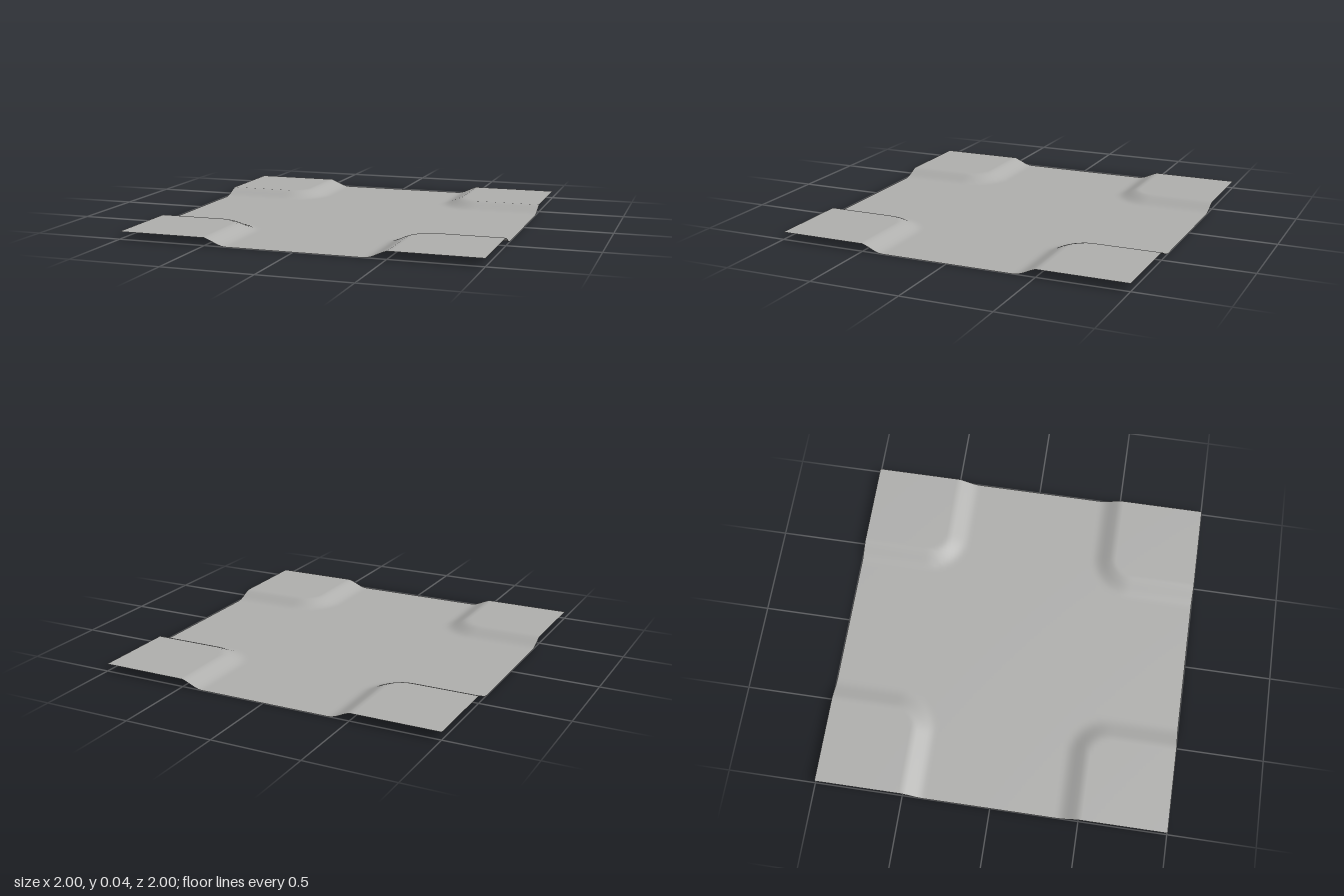
import * as THREE from 'three';

const FOOT = 0.38;   // where the ramps leave the flat floor
const RADIUS = 0.24; // rounding of each raised corner at its foot
// Ramp cross-section: distance in from the foot, height
const RAMP = [[0, 0], [0.025, 0.003], [0.05, 0.012], [0.09, 0.031], [0.12, 0.042]];

// Distance inside the rounded corner area (negative on the floor)
function inset(x, z) {
  const qx = Math.abs(x) - FOOT - RADIUS;
  const qz = Math.abs(z) - FOOT - RADIUS;
  return RADIUS - Math.hypot(Math.min(qx, 0), Math.min(qz, 0)) + Math.max(0, Math.min(qx, qz));
}

function height(d) {
  if (d <= 0) return 0;
  for (let i = 1; i < RAMP.length; i++) {
    const [d0, h0] = RAMP[i - 1];
    const [d1, h1] = RAMP[i];
    if (d <= d1) return THREE.MathUtils.mapLinear(d, d0, d1, h0, h1);
  }
  return RAMP[RAMP.length - 1][1];
}

export function createModel() {
  const group = new THREE.Group();
  group.name = 'crossroadTile';

  const grey = new THREE.MeshStandardMaterial({ color: 0xb0b0ae, side: THREE.DoubleSide });
  grey.name = 'stone grey';

  // Open sheet with a sunken cross between four raised corners
  const sheet = new THREE.PlaneGeometry(2, 2, 100, 100).rotateX(-Math.PI / 2);
  const pos = sheet.attributes.position;
  for (let i = 0; i < pos.count; i++) {
    pos.setY(i, height(inset(pos.getX(i), pos.getZ(i))));
  }
  sheet.computeVertexNormals();

  const ground = new THREE.Mesh(sheet, grey);
  ground.name = 'groundSheet';
  group.add(ground);
  return group;
}
